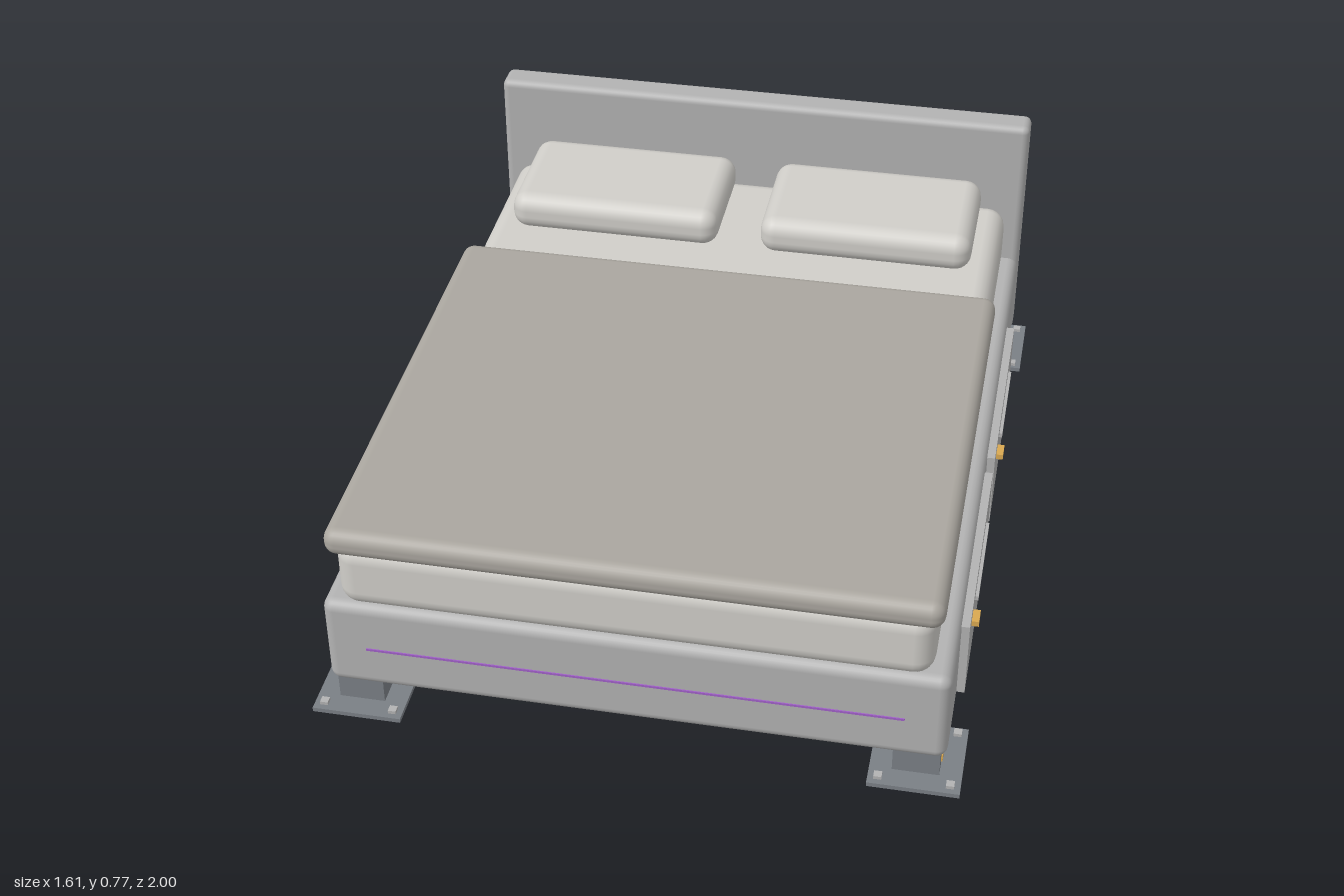
import * as THREE from 'three';
import { RoundedBoxGeometry } from 'three/addons/geometries/RoundedBoxGeometry.js';

const mat = (color) => new THREE.MeshStandardMaterial({ color });

export function createModel() {
  const bed = new THREE.Group();
  bed.name = 'bed';
  const grey = mat(0xb2b2b2), metal = mat(0x7a7f85), dark = mat(0x45435a), linen = mat(0xd0cec9);
  const beige = mat(0xaaa69f), gold = mat(0xd9a850), purple = mat(0xa060c8);

  // Boxes are given by their lower and upper corners; r rounds the edges.
  function box(name, material, min, max, r = 0, parent = bed) {
    const s = max.map((v, i) => v - min[i]);
    const geo = r ? new RoundedBoxGeometry(...s, 3, r) : new THREE.BoxGeometry(...s);
    const mesh = new THREE.Mesh(geo, material);
    mesh.position.set(...max.map((v, i) => (v + min[i]) / 2));
    mesh.name = name;
    parent.add(mesh);
    return mesh;
  }

  // Recessed plinth on a thin floor slab
  box('floorSlab', dark, [-0.7, 0.002, -0.845], [0.7, 0.009, 0.845]);
  box('plinth', metal, [-0.69, 0.009, -0.835], [0.69, 0.09, 0.835]);

  // Corner feet: bolted floor plate, leg block and gold tag
  for (const sx of [-1, 1]) for (const sz of [-1, 1]) {
    const foot = new THREE.Group();
    foot.name = 'foot';
    const part = (name, m, x, y, z) => box(name, m,
      [Math.min(sx * x[0], sx * x[1]), y[0], Math.min(sz * z[0], sz * z[1])],
      [Math.max(sx * x[0], sx * x[1]), y[1], Math.max(sz * z[0], sz * z[1])], 0, foot);
    part('footPlate', metal, [0.58, 0.805], [0, 0.012], [0.775, 1]);
    part('leg', metal, [0.635, 0.75], [0.012, 0.1], [0.826, 0.944]);
    part('legTag', gold, [0.748, 0.754], [0.032, 0.052], [0.857, 0.917]);
    for (const x of [0.605, 0.78]) for (const z of [0.795, 0.975]) {
      part('bolt', grey, [x - 0.01, x + 0.01], [0.012, 0.021], [z - 0.01, z + 0.01]);
    }
    bed.add(foot);
  }

  // Base, headboard and light strip
  box('base', grey, [-0.765, 0.08, -0.9], [0.765, 0.335, 0.965], 0.028);
  box('headboard', grey, [-0.768, 0.08, -0.957], [0.768, 0.77, -0.868], 0.02);
  box('lightStrip', purple, [-0.66, 0.198, 0.96], [0.66, 0.204, 0.968]);

  // Two drawers on each side, with bar handle and gold latch
  for (const sx of [-1, 1]) for (const z of [0.435, -0.238]) {
    const drawer = new THREE.Group();
    drawer.name = 'drawer';
    const part = (name, m, x, y, z0, z1) => box(name, m,
      [Math.min(sx * x[0], sx * x[1]), y[0], z + z0],
      [Math.max(sx * x[0], sx * x[1]), y[1], z + z1], 0, drawer);
    part('drawerFront', grey, [0.75, 0.785], [0.1, 0.312], -0.305, 0.305);
    part('drawerHandle', grey, [0.785, 0.793], [0.263, 0.275], -0.145, 0.145);
    part('drawerLatch', gold, [0.785, 0.803], [0.261, 0.276], 0.195, 0.24);
    bed.add(drawer);
  }

  // Bedding
  box('mattress', linen, [-0.72, 0.33, -0.87], [0.72, 0.518, 0.968], 0.05);
  box('duvet', beige, [-0.738, 0.497, -0.315], [0.738, 0.57, 0.985], 0.032);
  for (const sx of [-1, 1]) {
    box('pillow', linen, [sx * 0.355 - 0.295, 0.517, -0.832], [sx * 0.355 + 0.295, 0.625, -0.472], 0.045);
  }
  return bed;
}
